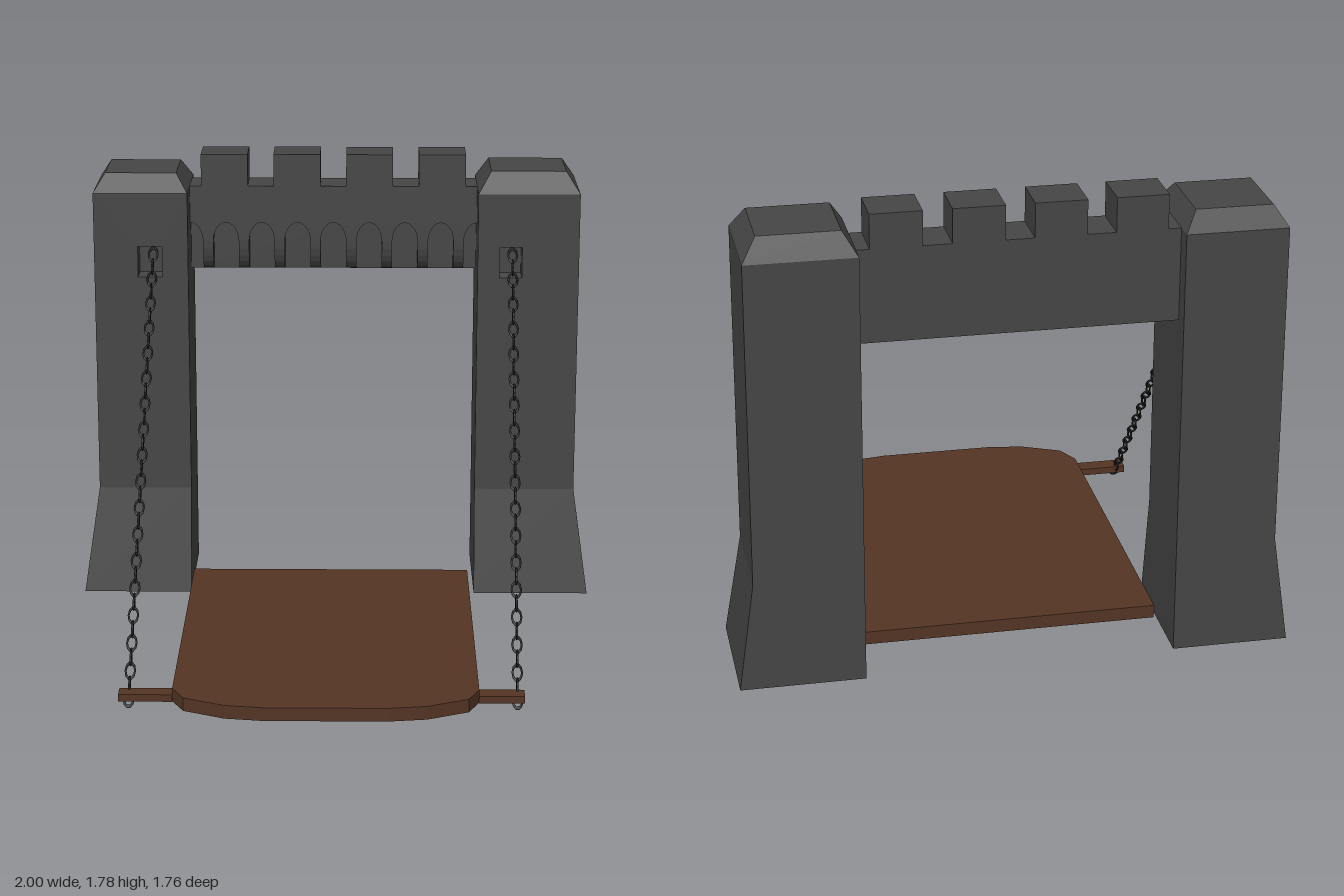
import * as THREE from 'three';

const stone = new THREE.MeshStandardMaterial({ color: 0x464646, side: THREE.DoubleSide });
stone.name = 'darkStone';
const wood = new THREE.MeshStandardMaterial({ color: 0x543524 });
wood.name = 'brownWood';
const iron = new THREE.MeshStandardMaterial({ color: 0x242424 });
iron.name = 'blackIron';

function add(parent, geometry, material, name) {
  const mesh = new THREE.Mesh(geometry, material);
  mesh.name = name;
  parent.add(mesh);
  return mesh;
}

// Box given by its limits on each axis
function box(x0, x1, y0, y1, z0, z1) {
  return new THREE.BoxGeometry(x1 - x0, y1 - y0, z1 - z0)
    .translate((x0 + x1) / 2, (y0 + y1) / 2, (z0 + z1) / 2);
}

// Flat-shaded surface from four-cornered faces
function quads(list) {
  const points = [];
  for (const [a, b, c, d] of list) for (const p of [a, b, c, a, c, d]) points.push(...p);
  const g = new THREE.BufferGeometry();
  g.setAttribute('position', new THREE.Float32BufferAttribute(points, 3));
  g.computeVertexNormals();
  return g;
}

// Horizontal ring of corners, counter-clockwise from above, starting front left
const ring = (x0, x1, z0, z1, y) => [[x0, y, z1], [x1, y, z1], [x1, y, z0], [x0, y, z0]];

// Walls joining two rings; skip omits one side
function walls(lower, upper, skip = -1) {
  const faces = [];
  for (let i = 0; i < 4; i++) {
    const j = (i + 1) % 4;
    if (i !== skip) faces.push([lower[i], lower[j], upper[j], upper[i]]);
  }
  return faces;
}

const BACK = -0.88, FRONT = -0.49, NICHE_BACK = -0.58;

function tower(group, name, t) {
  const part = new THREE.Group();
  part.name = name;
  group.add(part);
  const base = ring(t.foot[0], t.foot[1], BACK, -0.41, 0.05);
  const waist = ring(t.body[0], t.body[1], BACK, FRONT, 0.46);
  const eave = ring(t.body[0], t.body[1], BACK, FRONT, 1.65);
  const crown = ring(t.cap[0], t.cap[1], -0.825, -0.545, t.top);

  // Open-bottomed shaft with flared foot and bevelled cap
  add(part, quads([...walls(base, waist), ...walls(waist, eave, 0)]), stone, 'towerShaft');
  add(part, quads([...walls(eave, crown), crown]), stone, 'towerCap');

  // Front face with an opening for the chain
  const [n0, n1] = t.niche;
  const face = new THREE.Shape([[t.body[0], 0.46], [t.body[1], 0.46], [t.body[1], 1.65], [t.body[0], 1.65]]
    .map(p => new THREE.Vector2(...p)));
  face.holes.push(new THREE.Path([[n0, 1.32], [n0, 1.44], [n1, 1.44], [n1, 1.32]]
    .map(p => new THREE.Vector2(...p))));
  add(part, new THREE.ShapeGeometry(face).translate(0, 0, FRONT), stone, 'towerFront');

  // Recess behind the opening
  const rim = [[n0, 1.32, FRONT], [n1, 1.32, FRONT], [n1, 1.44, FRONT], [n0, 1.44, FRONT]];
  const rear = rim.map(([x, y]) => [x, y, NICHE_BACK]);
  add(part, quads([...walls(rim, rear), rear]), stone, 'chainNiche');
}

function battlement(group) {
  const part = new THREE.Group();
  part.name = 'battlement';
  group.add(part);
  const x0 = -0.575, x1 = 0.55, recess = -0.7, front = -0.64;
  const step = (x1 - x0) / 8, rx = 0.05, spring = 1.43;

  add(part, box(x0, x1, 1.31, 1.65, -0.81, recess), stone, 'wallCore');

  // Front skin cut by a row of arches, with half arches at both ends
  const skin = new THREE.Shape();
  skin.moveTo(x0, 1.65);
  for (let i = 0; i <= 8; i++) {
    const c = x0 + i * step;
    for (let k = 0; k <= 12; k++) {
      const a = Math.PI * (1 - k / 12);
      if ((i === 0 && k < 6) || (i === 8 && k > 6)) continue;
      skin.lineTo(c + rx * Math.cos(a), spring + 0.075 * Math.sin(a));
    }
  }
  skin.lineTo(x1, 1.65);
  const skinGeometry = new THREE.ExtrudeGeometry(skin, { depth: front - recess, bevelEnabled: false });
  add(part, skinGeometry.translate(0, 0, recess), stone, 'archedFront');

  // Rounded corbels under the piers between arches
  const profile = new THREE.Shape();
  profile.moveTo(0, 1.31);
  for (let k = 0; k <= 6; k++) {
    const a = (k / 6) * Math.PI / 2;
    profile.lineTo(Math.sin(a) * (front - recess), spring - 0.12 * Math.cos(a));
  }
  profile.lineTo(0, spring);
  const width = step - 2 * rx;
  for (let i = 0; i < 8; i++) {
    const g = new THREE.ExtrudeGeometry(profile, { depth: width, bevelEnabled: false });
    g.rotateY(-Math.PI / 2).translate(x0 + (i + 0.5) * step + width / 2, 0, 0);
    g.translate(0, 0, recess);
    add(part, g, stone, 'corbel');
  }

  // Merlons
  for (let i = 0; i < 4; i++) {
    const x = -0.53 + i * 0.284;
    add(part, box(x, x + 0.183, 1.65, 1.775, -0.81, front), stone, 'merlon');
  }
}

function drawbridge(group) {
  const part = new THREE.Group();
  part.name = 'drawbridge';
  group.add(part);
  // Deck with a rounded leading edge; outline is x against -z
  const outline = [[-0.575, 0.6], [-0.575, -0.7], [-0.53, -0.79], [-0.38, -0.86], [-0.24, -0.88],
    [0.2, -0.88], [0.34, -0.86], [0.49, -0.79], [0.53, -0.7], [0.53, 0.6]];
  const shape = new THREE.Shape(outline.map(p => new THREE.Vector2(...p)));
  const g = new THREE.ExtrudeGeometry(shape, { depth: 0.05, bevelEnabled: false });
  add(part, g.rotateX(-Math.PI / 2).translate(0, 0.03, 0), wood, 'deck');
  // Beam ends that carry the chains
  add(part, box(-0.77, -0.575, 0.03, 0.057, 0.64, 0.705), wood, 'rightBeamEnd');
  add(part, box(0.53, 0.695, 0.03, 0.057, 0.64, 0.705), wood, 'leftBeamEnd');
}

// Chain of links turned a quarter each time
function chain(group, name, bottomX, topX) {
  const part = new THREE.Group();
  part.name = name;
  group.add(part);
  const start = new THREE.Vector3(bottomX, 0.025, 0.667);
  const end = new THREE.Vector3(topX, 1.395, -0.55);
  const link = new THREE.TorusGeometry(0.017, 0.004, 5, 10).scale(1, 1.75, 1);
  const count = 35;
  const aim = new THREE.Quaternion().setFromUnitVectors(
    new THREE.Vector3(0, 1, 0), end.clone().sub(start).normalize());
  for (let i = 0; i < count; i++) {
    const mesh = add(part, link, iron, 'chainLink');
    mesh.position.lerpVectors(start, end, i / (count - 1));
    const turn = new THREE.Quaternion().setFromAxisAngle(
      new THREE.Vector3(0, 1, 0), (i % 2) * Math.PI / 2);
    mesh.quaternion.copy(aim).multiply(turn);
  }
}

export function createModel() {
  const model = new THREE.Group();
  model.name = 'castleGate';
  tower(model, 'rightTower', {
    foot: [-1, -0.575], body: [-0.94, -0.575], cap: [-0.895, -0.62], top: 1.72, niche: [-0.77, -0.675],
  });
  tower(model, 'leftTower', {
    foot: [0.55, 1], body: [0.55, 0.943], cap: [0.6, 0.89], top: 1.73, niche: [0.635, 0.722],
  });
  battlement(model);
  drawbridge(model);
  chain(model, 'rightChain', -0.735, -0.715);
  chain(model, 'leftChain', 0.67, 0.688);
  return model;
}
